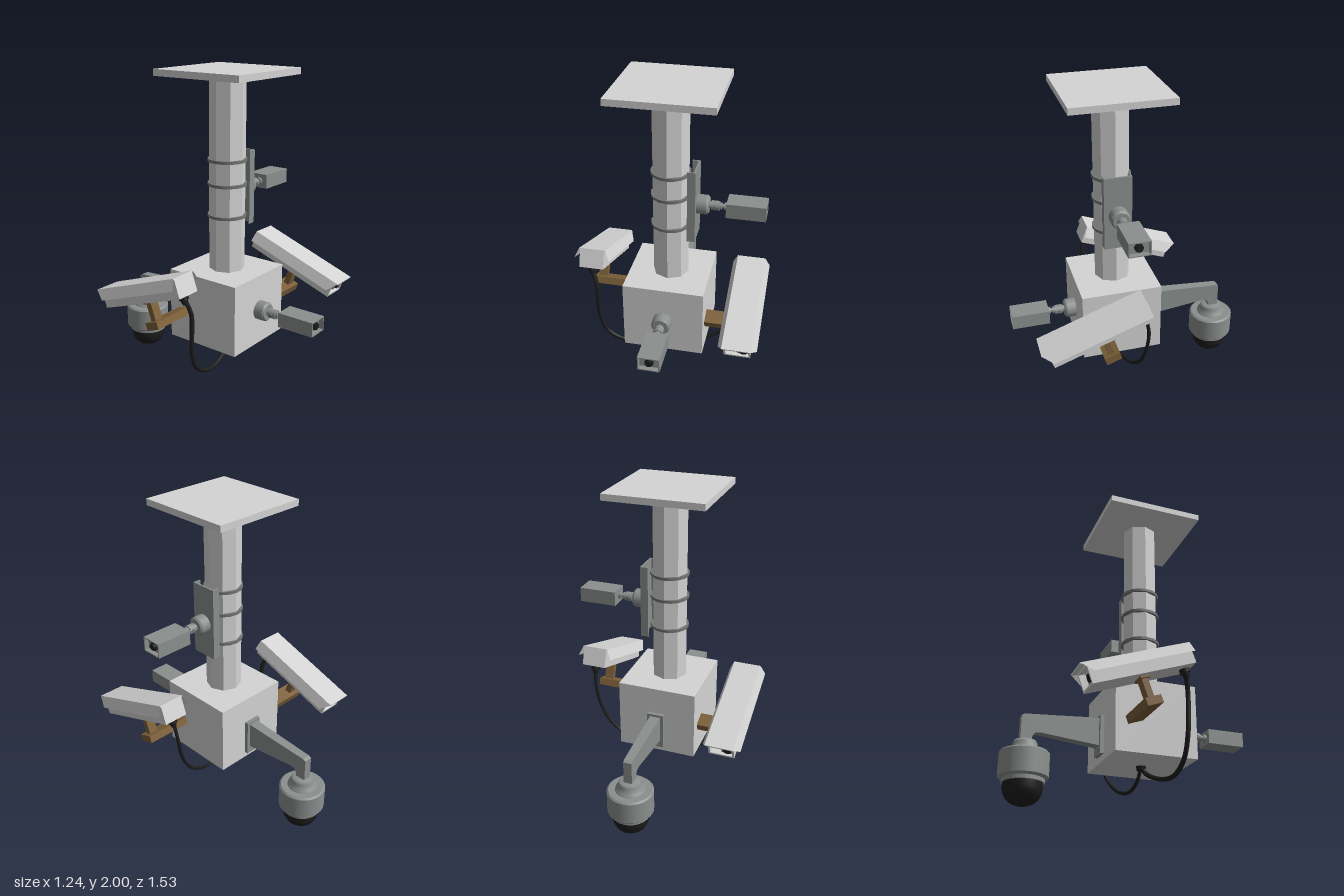
import * as THREE from 'three';

const mat = (name, color, side = THREE.FrontSide) => {
  const m = new THREE.MeshStandardMaterial({ color, side });
  m.name = name;
  return m;
};
const light = mat('light grey paint', 0xd4d4d4);
const lightSheet = mat('light grey sheet', 0xd4d4d4, THREE.DoubleSide);
const grey = mat('mid grey metal', 0x8b908e);
const band = mat('clamp grey', 0x737675);
const brown = mat('brown bracket', 0x7d6039);
const black = mat('black rubber', 0x1d1d1d);

const CZ = 0.09; // z of the post axis

function add(parent, name, geo, material, x = 0, y = 0, z = 0) {
  const m = new THREE.Mesh(geo, material);
  m.name = name;
  m.position.set(x, y, z);
  parent.add(m);
  return m;
}
const box = (w, h, d) => new THREE.BoxGeometry(w, h, d);
// Cylinder lying along +z, from z0 to z1
function rod(parent, name, r, z0, z1, material, x = 0, y = 0, r2 = r) {
  const g = new THREE.CylinderGeometry(r2, r, z1 - z0, 20).rotateX(Math.PI / 2);
  return add(parent, name, g, material, x, y, (z0 + z1) / 2);
}
// Rectangular tube along +z with the given wall
function frame(w, h, wall, depth) {
  const rect = (P, a, b) => new P([[-a, -b], [a, -b], [a, b], [-a, b]].map(p => new THREE.Vector2(...p)));
  const s = rect(THREE.Shape, w / 2, h / 2);
  s.holes.push(rect(THREE.Path, w / 2 - wall, h / 2 - wall));
  return new THREE.ExtrudeGeometry(s, { depth, bevelEnabled: false });
}

// Small box camera on a swivel mount, pointing along +z
function boxCamera(name) {
  const g = new THREE.Group();
  g.name = name;
  rod(g, 'mountBase', 0.06, 0, 0.06, grey);
  rod(g, 'mountBaseRim', 0.06, 0.06, 0.072, grey, 0, 0, 0.05);
  rod(g, 'swivelNeck', 0.022, 0.07, 0.15, grey);
  rod(g, 'swivelKnuckle', 0.03, 0.085, 0.135, grey);
  const pin = add(g, 'swivelPin', new THREE.CylinderGeometry(0.01, 0.01, 0.07, 10), band, 0, 0, 0.11);
  pin.rotation.z = Math.PI / 2;
  rod(g, 'swivelStem', 0.014, 0.15, 0.165, grey);
  rod(g, 'cameraFoot', 0.024, 0.163, 0.182, grey);
  const cx = 0.01;
  add(g, 'cameraBody', box(0.134, 0.092, 0.21), grey, cx, 0, 0.285);
  add(g, 'cameraRim', frame(0.134, 0.092, 0.007, 0.03), grey, cx, 0, 0.39);
  rod(g, 'lensBarrel', 0.026, 0.39, 0.405, black, cx);
  rod(g, 'lens', 0.02, 0.405, 0.415, black, cx);
  return g;
}

// Hooded camera: origin at the upper rear edge of the roof, lens end at +z
function hoodedCamera() {
  const g = new THREE.Group();
  g.name = 'hoodedCamera';
  const L = 0.68, H = 0.126, front = 0.645;
  add(g, 'hoodRoof', box(0.172, 0.008, L), light, 0, -0.004, L / 2);
  for (const s of [-1, 1]) {
    const a = s * 0.086, b = s * 0.116;
    const flap = new THREE.BufferGeometry();
    flap.setAttribute('position', new THREE.Float32BufferAttribute(
      [a, 0, 0, b, -0.068, 0, b, -0.068, L - 0.05, a, 0, L], 3));
    flap.setIndex(s > 0 ? [0, 2, 1, 0, 3, 2] : [0, 1, 2, 0, 2, 3]);
    flap.computeVertexNormals();
    add(g, 'hoodFlap', flap, lightSheet);
  }
  add(g, 'housingBody', box(0.16, H - 0.008, front - 0.04), light, 0, -H / 2 - 0.004, (front - 0.04) / 2);
  add(g, 'housingRim', frame(0.16, H - 0.008, 0.012, 0.04), light, 0, -H / 2 - 0.004, front - 0.04);
  add(g, 'innerCamera', box(0.07, 0.06, 0.03), grey, 0.033, -0.078, front - 0.03);
  rod(g, 'lens', 0.024, front - 0.02, front - 0.005, black, 0.036, -0.078);
  // Cable gland under the rear
  add(g, 'cableGland', new THREE.CylinderGeometry(0.03, 0.03, 0.025, 14), black, 0, -H - 0.012, 0.045);
  add(g, 'cableGlandTip', new THREE.CylinderGeometry(0.024, 0.016, 0.03, 14), black, 0, -H - 0.038, 0.045);
  // Bracket in line with the tilt
  add(g, 'bracketCap', box(0.09, 0.014, 0.06), brown, 0, -H - 0.007, 0.318);
  add(g, 'bracketPost', box(0.06, 0.14, 0.038), brown, 0, -0.195, 0.318);
  add(g, 'bracketArm', box(0.33, 0.048, 0.098), brown, -0.11, -0.278, 0.318);
  return g;
}

function cable(parent, pts, r) {
  const curve = new THREE.CatmullRomCurve3(pts.map(p => new THREE.Vector3(...p)));
  add(parent, 'cable', new THREE.TubeGeometry(curve, 60, r, 10), black);
}

export function createModel() {
  const root = new THREE.Group();
  root.name = 'cameraPost';

  // Ceiling plate, eight-sided post and junction box
  add(root, 'ceilingPlate', box(0.62, 0.04, 0.62), light, 0, 1.98, CZ);
  const post = new THREE.CylinderGeometry(0.113, 0.113, 1.22, 8).toNonIndexed();
  post.computeVertexNormals();
  add(root, 'post', post, light, 0, 1.36, CZ);
  add(root, 'junctionBox', box(0.51, 0.455, 0.51), light, 0, 0.5275, CZ);

  // Clamp bands
  for (const y of [1.105, 1.305, 1.455]) {
    add(root, 'clampBand', new THREE.CylinderGeometry(0.123, 0.123, 0.018, 16), band, 0, y, CZ);
  }

  // Channel-shaped side plate
  add(root, 'sidePlate', box(0.012, 0.47, 0.174), grey, 0.159, 1.265, CZ);
  for (const s of [-1, 1]) {
    add(root, 'sidePlateFlange', box(0.045, 0.47, 0.01), grey, 0.138, 1.265, CZ + s * 0.082);
  }

  // Box cameras
  const side = boxCamera('sideCamera');
  side.rotation.y = Math.PI / 2;
  side.position.set(0.165, 1.253, CZ);
  const front = boxCamera('frontCamera');
  front.position.set(0, 0.528, 0.345);
  root.add(side, front);

  // Two hooded cameras, turned half round the post from each other
  for (const turn of [0, Math.PI]) {
    const pivot = new THREE.Group();
    pivot.name = turn ? 'rightHoodedUnit' : 'leftHoodedUnit';
    pivot.position.z = CZ;
    pivot.rotation.y = turn;
    const cam = hoodedCamera();
    cam.position.set(0.505, 0.872, 0.025 - CZ);
    cam.rotation.x = THREE.MathUtils.degToRad(19.8);
    pivot.add(cam);
    root.add(pivot);
  }

  // Hanging cables and their entry
  add(root, 'cableEntry', new THREE.CylinderGeometry(0.032, 0.026, 0.03, 14), black, 0, 0.29, CZ);
  cable(root, [[-0.505, 0.72, 0.165], [-0.475, 0.62, 0.19], [-0.465, 0.36, 0.185], [-0.41, 0.235, 0.18],
    [-0.28, 0.178, 0.175], [-0.12, 0.2, 0.15], [-0.03, 0.25, 0.11], [0, 0.3, CZ]], 0.014);
  cable(root, [[0.505, 0.72, 0.012], [0.495, 0.6, -0.01], [0.466, 0.455, -0.005], [0.4, 0.32, 0.01],
    [0.275, 0.21, 0.04], [0.127, 0.175, 0.065], [0.04, 0.22, 0.08], [0, 0.3, CZ]], 0.011);

  // Dome camera on a tapered rear arm
  const dome = new THREE.Group();
  dome.name = 'domeCamera';
  dome.position.z = -0.622;
  root.add(dome);
  add(root, 'armPlate', box(0.11, 0.24, 0.025), grey, 0, 0.46, -0.177);
  const prof = [[0.17, 0.39], [0.17, 0.565], [0.64, 0.535], [0.657, 0.525], [0.657, 0.36], [0.59, 0.36],
    [0.59, 0.4], [0.575, 0.425], [0.54, 0.43]];
  const arm = new THREE.ExtrudeGeometry(new THREE.Shape(prof.map(p => new THREE.Vector2(...p))),
    { depth: 0.064, bevelEnabled: false });
  arm.translate(0, 0, -0.032).rotateY(Math.PI / 2);
  // Narrow the arm towards its outer end
  const p = arm.attributes.position;
  for (let i = 0; i < p.count; i++) p.setX(i, p.getX(i) * (1.08 + 0.5 * (p.getZ(i) + 0.17)));
  arm.computeVertexNormals();
  add(root, 'domeArm', arm, grey);

  const lathe = (name, pts, m) => add(dome, name,
    new THREE.LatheGeometry(pts.map(q => new THREE.Vector2(...q)), 32), m);
  lathe('domeCollar', [[0.095, 0.305], [0.09, 0.325], [0.072, 0.335], [0.072, 0.36], [0.062, 0.378], [0, 0.38]], grey);
  add(dome, 'domeHousing', new THREE.CylinderGeometry(0.145, 0.145, 0.14, 32), grey, 0, 0.233, 0);
  add(dome, 'domeHousingTop', new THREE.CylinderGeometry(0.135, 0.145, 0.01, 32), grey, 0, 0.308, 0);
  add(dome, 'domeHousingBase', new THREE.CylinderGeometry(0.145, 0.136, 0.01, 32), grey, 0, 0.158, 0);
  add(dome, 'domeRing', new THREE.CylinderGeometry(0.123, 0.123, 0.03, 32), grey, 0, 0.145, 0);
  lathe('domeCover', [[0, 0.004], [0.035, 0.007], [0.068, 0.02], [0.094, 0.043], [0.109, 0.072],
    [0.114, 0.1], [0.114, 0.135]], black);

  return root;
}
